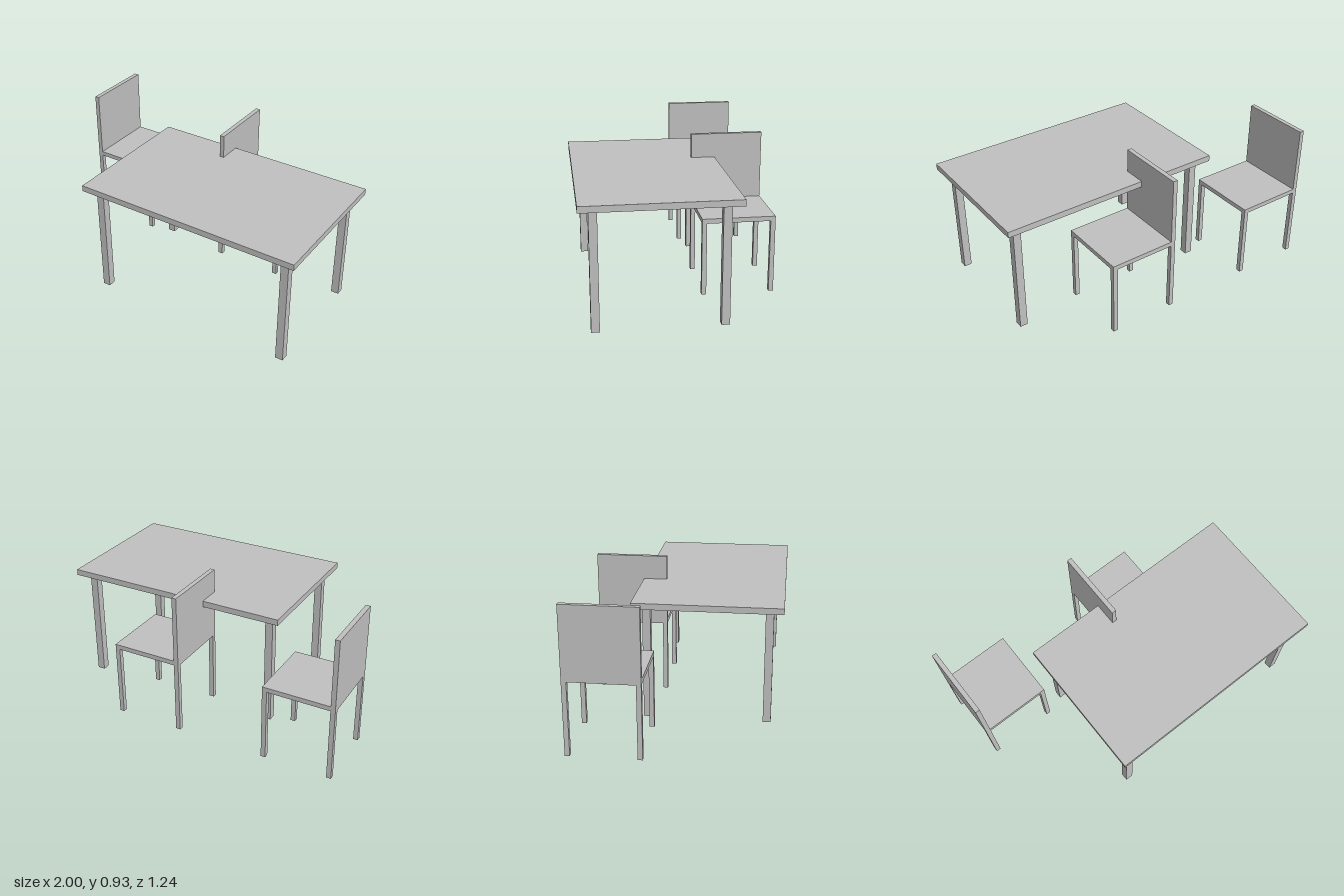
import * as THREE from 'three';

const grey = new THREE.MeshStandardMaterial({ color: 0xc0c0c0 });
grey.name = 'plain grey';

// Box given by its lower and upper limits on each axis
function block(name, [x0, x1], [y0, y1], [z0, z1]) {
  const mesh = new THREE.Mesh(new THREE.BoxGeometry(x1 - x0, y1 - y0, z1 - z0), grey);
  mesh.position.set((x0 + x1) / 2, (y0 + y1) / 2, (z0 + z1) / 2);
  mesh.name = name;
  return mesh;
}

// Four square legs under a rectangle centred on the origin
function addLegs(group, name, width, depth, thickness, height) {
  const h = thickness / 2;
  for (const sx of [-1, 1]) {
    for (const sz of [-1, 1]) {
      const x = sx * (width / 2 - h);
      const z = sz * (depth / 2 - h);
      group.add(block(name, [x - h, x + h], [0, height], [z - h, z + h]));
    }
  }
}

function createTable() {
  const table = new THREE.Group();
  table.name = 'table';
  table.add(block('tableTop', [-0.742, 0.742], [0.737, 0.776], [-0.464, 0.464]));
  addLegs(table, 'tableLeg', 1.36, 0.805, 0.05, 0.737);
  return table;
}

// Chair facing +x, with a solid upright back
function createChair() {
  const chair = new THREE.Group();
  chair.name = 'chair';
  const w = 0.23, t = 0.03;
  chair.add(block('seat', [-w, w], [0.468, 0.498], [-w, w]));
  chair.add(block('backrest', [-w, -w + t], [0.498, 0.93], [-w, w]));
  addLegs(chair, 'chairLeg', 2 * w, 2 * w, t, 0.468);
  return chair;
}

export function createModel() {
  const model = new THREE.Group();
  model.name = 'diningSet';

  const table = createTable();
  table.position.set(0.258, 0, 0.155);
  model.add(table);

  // Two chairs in a row at the back
  for (const x of [-0.77, 0.262]) {
    const chair = createChair();
    chair.position.set(x, 0, -0.388);
    model.add(chair);
  }
  return model;
}
